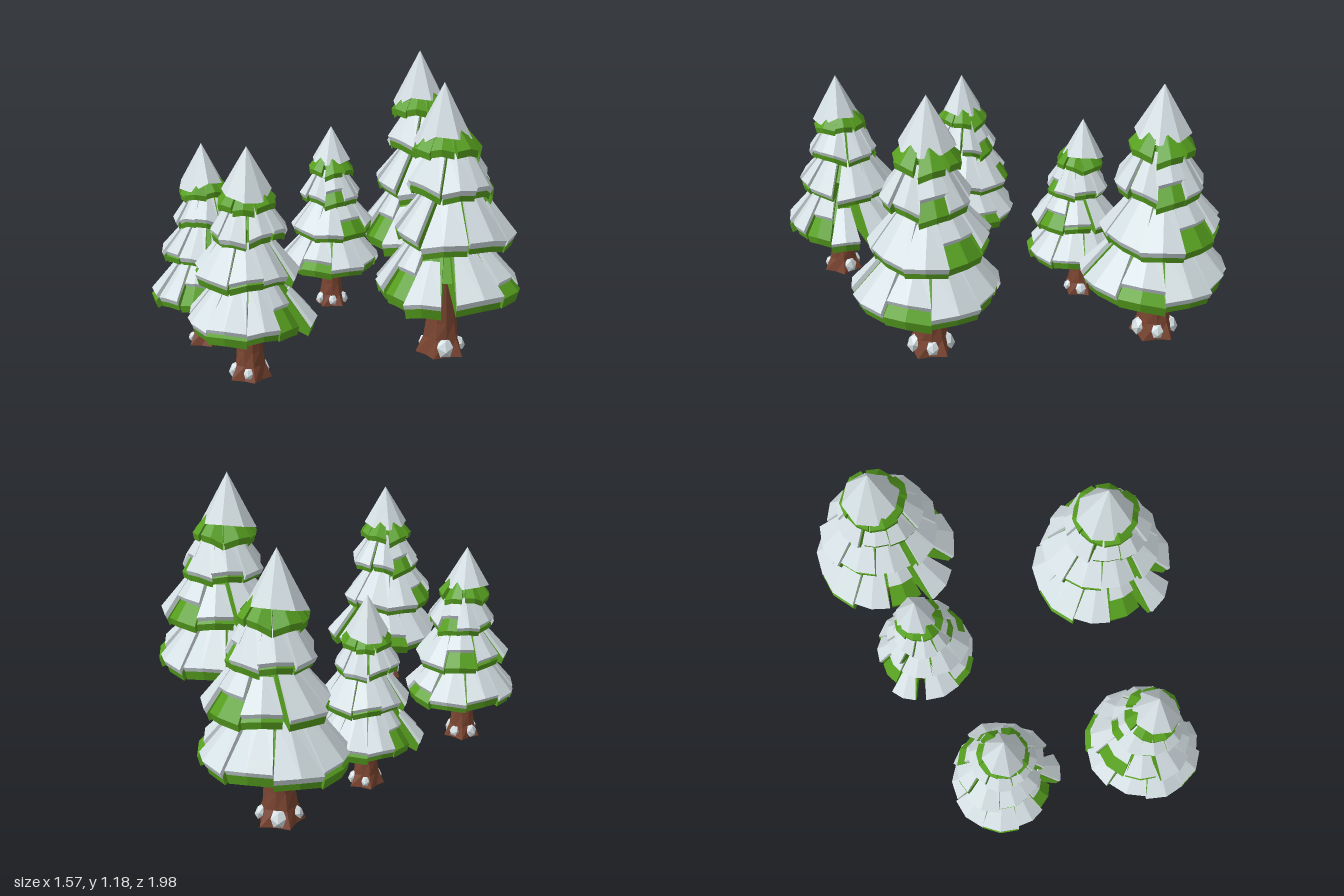
import * as THREE from 'three';

const mat = (name, color) => {
  const m = new THREE.MeshStandardMaterial({ color, flatShading: true });
  m.name = name;
  return m;
};

// Deterministic variation in the range -1..1
const vary = (n) => Math.sin(n * 12.9898 + 4.1) * Math.cos(n * 7.233);

// Closed solid from columns; each column is a convex outline of [radius, y, angle]
function loft(columns) {
  const pos = [];
  const pts = columns.map((col) => col.map(([r, y, a]) => [r * Math.sin(a), y, r * Math.cos(a)]));
  const tri = (p, q, r) => pos.push(...p, ...q, ...r);
  for (let c = 0; c < pts.length - 1; c++) {
    const p = pts[c], q = pts[c + 1], n = p.length;
    for (let i = 0; i < n; i++) {
      const j = (i + 1) % n;
      tri(p[i], p[j], q[j]);
      tri(p[i], q[j], q[i]);
    }
  }
  const first = pts[0], last = pts[pts.length - 1];
  for (let i = 1; i < first.length - 1; i++) {
    tri(first[0], first[i + 1], first[i]);
    tri(last[0], last[i], last[i + 1]);
  }
  const g = new THREE.BufferGeometry();
  g.setAttribute('position', new THREE.Float32BufferAttribute(pos, 3));
  g.computeVertexNormals();
  return g;
}

// Three columns across a bough: the middle stands proud, roll tips it sideways.
// profileAt gives inner top, outer top, outer bottom, inner bottom as [radius, y].
function bough(angle, halfWidth, innerWidth, roll, profileAt) {
  return loft([-1, 0, 1].map((s) =>
    profileAt(s === 0 ? 1.03 : 1, (s === 0 ? 0.006 : -0.006) + s * roll)
      .map(([r, y], i) => [r, y, angle + s * (i === 1 || i === 2 ? halfWidth : innerWidth)])));
}

// Tiers from the ground up. Boughs: [angle, rim radius, half width, snow start, snow end]
const ring = (n, r, spread, bare, turn, seed) => Array.from({ length: n }, (_, i) => [
  turn + (i / n) * Math.PI * 2 + 0.1 * vary(i + seed),
  r * (1 + 0.08 * vary(i * 3 + seed)),
  (Math.PI / n) * (0.95 + 0.13 * vary(i * 5 + seed)),
  0.22 + 0.2 * vary(i * 7 + seed),
  bare.includes(i) ? spread : 0.99 + 0.05 * vary(i * 2 + seed),
]);

const TIERS = [
  {
    y: 0.293, rTop: 0.08, yTop: 0.55, lip: 0.042, x: 0.01, z: 0,
    boughs: [
      [0, 0.305, 0.25, 0.45, 1], [0.8, 0.3, 0.35, 0.35, 1.02], [1.5, 0.308, 0.33, 0.3, 0.84],
      [2.2, 0.285, 0.37, 0.35, 1.02], [2.95, 0.272, 0.36, 0.15, 1], [3.68, 0.278, 0.36, 0.32, 1.02],
      [4.4, 0.29, 0.36, 0.15, 0.95], [5.06, 0.26, 0.3, 0.3, 1.02], [5.68, 0.255, 0.28, 0.15, 0.66],
    ],
  },
  { y: 0.51, rTop: 0.065, yTop: 0.74, lip: 0.032, x: 0.04, z: -0.02, boughs: ring(8, 0.235, 0.68, [3], 0.1, 2) },
  { y: 0.705, rTop: 0.05, yTop: 0.9, lip: 0.028, x: 0.032, z: 0, boughs: ring(8, 0.17, 0.7, [2], 0.45, 6) },
];
// Snowless skirt under the cap
const SKIRT = {
  y: 0.868, rTop: 0.035, yTop: 1.0, lip: 0.03, x: 0.012, z: 0,
  boughs: ring(7, 0.138, 1, [], 0.2, 9),
};

function buildTier(tier, index, m, snowy) {
  const g = new THREE.Group();
  g.name = snowy ? 'tier' + (index + 1) : 'topSkirt';
  g.position.set(tier.x, 0, tier.z);
  const add = (geo, material, name) => {
    const mesh = new THREE.Mesh(geo, material);
    mesh.name = name;
    g.add(mesh);
    return mesh;
  };
  // Core that fills the gaps between boughs
  const maxR = Math.max(...tier.boughs.map((b) => b[1]));
  const coreY = tier.y + (tier.yTop - tier.y) * 0.3;
  const core = add(new THREE.CylinderGeometry(tier.rTop * 0.8, maxR * 0.66, tier.yTop - coreY, 9), m.green, 'foliageCore');
  core.position.y = (tier.yTop + coreY) / 2 - 0.015;

  tier.boughs.forEach(([a, r, w, s0, s1], i) => {
    const y = tier.y + 0.016 * vary(i * 4 + index);
    const roll = 0.016 * vary(i * 6 + index + 2);
    // Green wedge with a thick rim and a hollowed underside
    add(bough(a, w, w, roll, (k, lift) => [
      [tier.rTop, tier.yTop], [r * k, y + lift],
      [r * k * 0.96, y + lift - tier.lip], [0.04, tier.y + 0.04],
    ]), m.green, 'bough');
    if (!snowy) return;
    // Snow slab on the upper face, narrowing where it starts further down
    add(bough(a, w * 1.0, w * (1.02 - s0 * 0.6), roll, (k, lift) => {
      const at = (t, h) => [
        tier.rTop + (r * k - tier.rTop) * t + h * 0.5,
        tier.yTop + (y + lift - tier.yTop) * t + h,
      ];
      return [at(s0, 0.016), at(s1, 0.02), at(s1, -0.006), at(s0, -0.01)];
    }), m.snow, 'boughSnow');
  });
  return g;
}

function buildTree(m) {
  const tree = new THREE.Group();

  // Trunk flaring into root lobes
  const trunkGeo = new THREE.CylinderGeometry(0.052, 0.068, 0.42, 10, 6);
  trunkGeo.translate(0, 0.21, 0);
  const p = trunkGeo.attributes.position;
  for (let i = 0; i < p.count; i++) {
    const y = p.getY(i), a = Math.atan2(p.getX(i), p.getZ(i));
    const flare = Math.max(0, 1 - y / 0.14);
    const k = 1 + flare * flare * (0.32 + 0.22 * Math.cos(5 * a));
    p.setX(i, p.getX(i) * k);
    p.setZ(i, p.getZ(i) * k);
  }
  trunkGeo.computeVertexNormals();
  const trunk = new THREE.Mesh(trunkGeo, m.bark);
  trunk.name = 'trunk';
  tree.add(trunk);

  // Snow clumps banked against the roots: angle, radius, size
  [[0.5, 0.07, 0.046], [1.9, 0.076, 0.034], [3.3, 0.074, 0.042], [4.7, 0.078, 0.03]].forEach(([a, r, s]) => {
    const clump = new THREE.Mesh(new THREE.IcosahedronGeometry(s, 0), m.snow);
    clump.name = 'rootSnow';
    clump.position.set(r * Math.sin(a), 0.04, r * Math.cos(a));
    clump.rotation.set(-0.4, a, 0, 'YXZ');
    clump.scale.set(0.85, 0.95, 0.6);
    tree.add(clump);
  });

  TIERS.forEach((t, i) => tree.add(buildTier(t, i, m, true)));
  tree.add(buildTier(SKIRT, TIERS.length, m, false));

  // Snow cap with an uneven rim
  const capGeo = new THREE.ConeGeometry(0.119, 0.222, 8);
  capGeo.translate(0, 1.019, 0);
  const c = capGeo.attributes.position;
  for (let i = 0; i < c.count; i++) {
    const r = Math.hypot(c.getX(i), c.getZ(i));
    if (r < 0.01) continue;
    const k = (Math.round(Math.atan2(c.getX(i), c.getZ(i)) / (Math.PI / 4)) + 8) % 8;
    const stretch = 1 + 0.08 * vary(k + 11);
    c.setXYZ(i, c.getX(i) * stretch, c.getY(i) + 0.03 * vary(k + 3), c.getZ(i) * stretch);
  }
  capGeo.computeVertexNormals();
  const cap = new THREE.Mesh(capGeo, m.snow);
  cap.name = 'snowCap';
  tree.add(cap);
  return tree;
}

export function createModel() {
  const m = {
    green: mat('foliageGreen', 0x57a01f),
    snow: mat('snowWhite', 0xd4dfe3),
    bark: mat('barkBrown', 0x7a4430),
  };
  const model = new THREE.Group();
  model.name = 'snowyTrees';
  // x, base y, z, height, turn
  [
    [0.475, 0.06, 0.16, 1.13, 0.06],
    [0.04, 0.02, -0.705, 1.135, 0.03],
    [-0.11, 0.07, 0.745, 0.93, 1.95],
    [-0.55, 0.005, 0.3, 0.875, 0.8],
    [-0.235, 0.03, -0.325, 0.825, -1.4],
  ].forEach(([x, y, z, h, turn], i) => {
    const tree = buildTree(m);
    tree.name = 'tree' + (i + 1);
    tree.position.set(x, y, z);
    tree.rotation.y = turn;
    tree.scale.setScalar(h / 1.13);
    model.add(tree);
  });
  return model;
}
